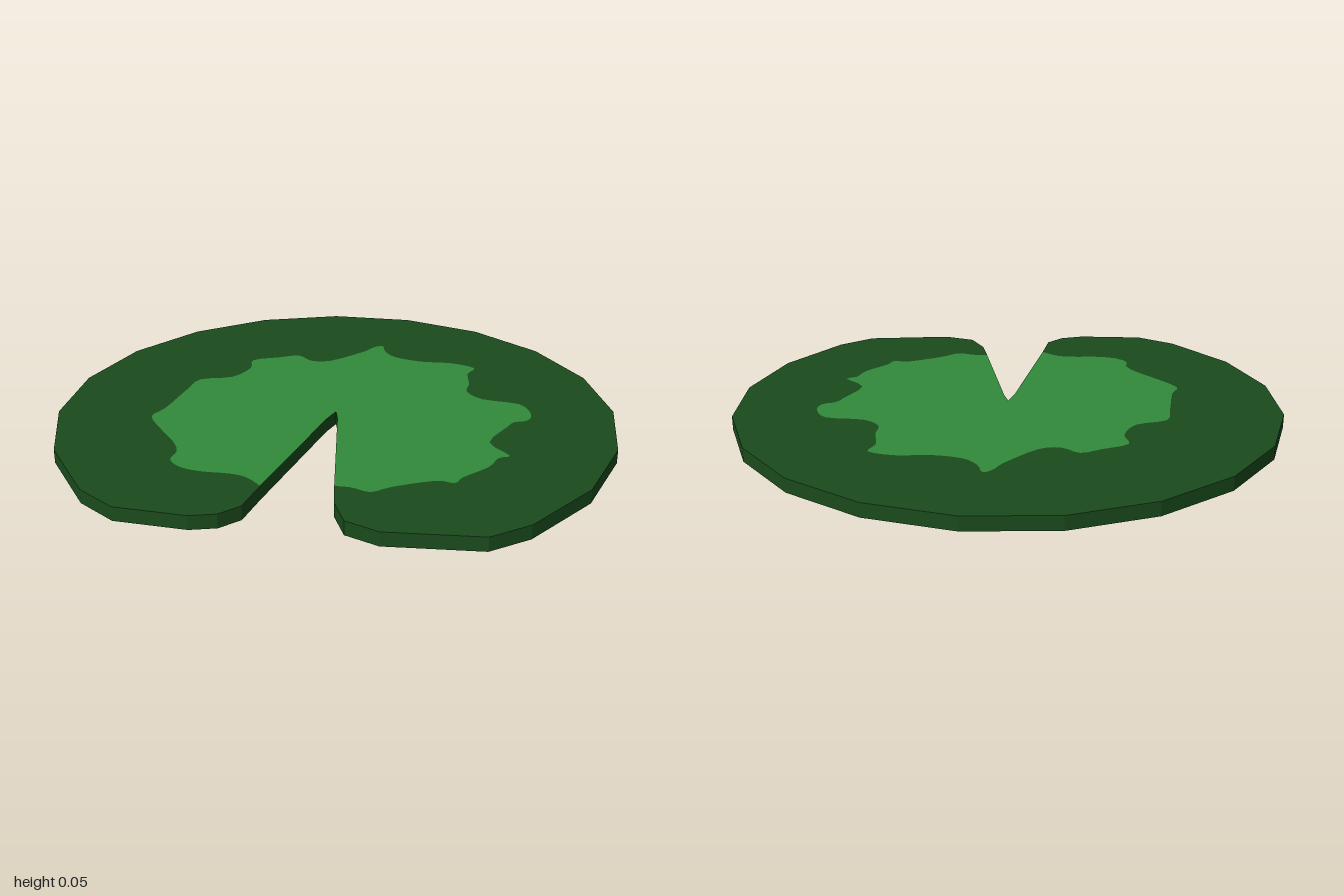
import * as THREE from 'three';

const HEIGHT = 0.05;
const CENTRE_Z = 0.06;

const points = (list) => list.map(([x, z]) => new THREE.Vector2(x, z));

// Flat sheet at the top of the pad, from points in (x, z)
function sheet(name, outline, material) {
  const shape = new THREE.Shape(outline.map((p) => new THREE.Vector2(p.x, -p.y)));
  const geometry = new THREE.ShapeGeometry(shape);
  geometry.rotateX(-Math.PI / 2);
  geometry.translate(0, HEIGHT, 0);
  const mesh = new THREE.Mesh(geometry, material);
  mesh.name = name;
  return mesh;
}

// Faceted upright wall along a closed outline
function wall(name, outline, material) {
  const positions = [];
  outline.forEach((a, i) => {
    const b = outline[(i + 1) % outline.length];
    positions.push(a.x, 0, a.y, b.x, 0, b.y, b.x, HEIGHT, b.y);
    positions.push(a.x, 0, a.y, b.x, HEIGHT, b.y, a.x, HEIGHT, a.y);
  });
  const geometry = new THREE.BufferGeometry();
  geometry.setAttribute('position', new THREE.Float32BufferAttribute(positions, 3));
  geometry.computeVertexNormals();
  const mesh = new THREE.Mesh(geometry, material);
  mesh.name = name;
  return mesh;
}

export function createModel() {
  // The pad is a thin shell, open underneath, so both sides show
  const side = THREE.DoubleSide;
  const darkGreen = new THREE.MeshStandardMaterial({ name: 'darkGreen', color: 0x1a4b1c, side });
  const leafGreen = new THREE.MeshStandardMaterial({ name: 'leafGreen', color: 0x308a39, side });

  // Outer edge: right lip of the notch, twenty-sided arc, left lip
  const arc = [];
  for (let k = 2; k <= 17; k++) {
    const a = (k * Math.PI) / 10;
    arc.push([Math.sin(a), CENTRE_Z + Math.cos(a)]);
  }
  const outer = points([
    [-0.005, 0.625], [-0.005, 0.735], [0.025, 0.845], [0.13, 0.91], [0.45, 0.94],
    ...arc,
    [-0.69, 0.76], [-0.45, 0.815], [-0.36, 0.805], [-0.29, 0.755], [-0.24, 0.625],
  ]);

  // Notch cut in to the centre
  const notch = points([[-0.035, 0.125], [0, CENTRE_Z], [0.005, 0.12]]);

  // Wavy border between the two greens
  const border = new THREE.SplineCurve(points([
    [-0.005, 0.625], [0.05, 0.635], [0.11, 0.665], [0.18, 0.63], [0.32, 0.59], [0.38, 0.605],
    [0.41, 0.565], [0.5, 0.495], [0.54, 0.43], [0.58, 0.41], [0.525, 0.31], [0.6, 0.19],
    [0.63, 0.15], [0.68, 0.135], [0.7, 0.08], [0.67, -0.005], [0.54, -0.05], [0.49, -0.12],
    [0.505, -0.19], [0.51, -0.29], [0.54, -0.35], [0.45, -0.4], [0.34, -0.415], [0.24, -0.46],
    [0.2, -0.52], [0.19, -0.585], [0.15, -0.565], [0.11, -0.52], [-0.02, -0.425], [-0.1, -0.425],
    [-0.15, -0.48], [-0.23, -0.46], [-0.33, -0.43], [-0.335, -0.35], [-0.4, -0.26], [-0.52, -0.235],
    [-0.56, -0.14], [-0.62, 0.03], [-0.66, 0.1], [-0.61, 0.21], [-0.555, 0.31], [-0.535, 0.38],
    [-0.55, 0.44], [-0.51, 0.495], [-0.44, 0.525], [-0.35, 0.54], [-0.29, 0.565], [-0.24, 0.625],
  ])).getPoints(141);

  const patch = [...border, ...notch];
  const rim = [...outer, ...border.slice(1, -1).reverse()];

  const group = new THREE.Group();
  group.name = 'lilyPad';
  group.add(
    sheet('rim', rim, darkGreen),
    sheet('patch', patch, leafGreen),
    wall('edge', [...outer, ...notch], darkGreen),
  );
  return group;
}
